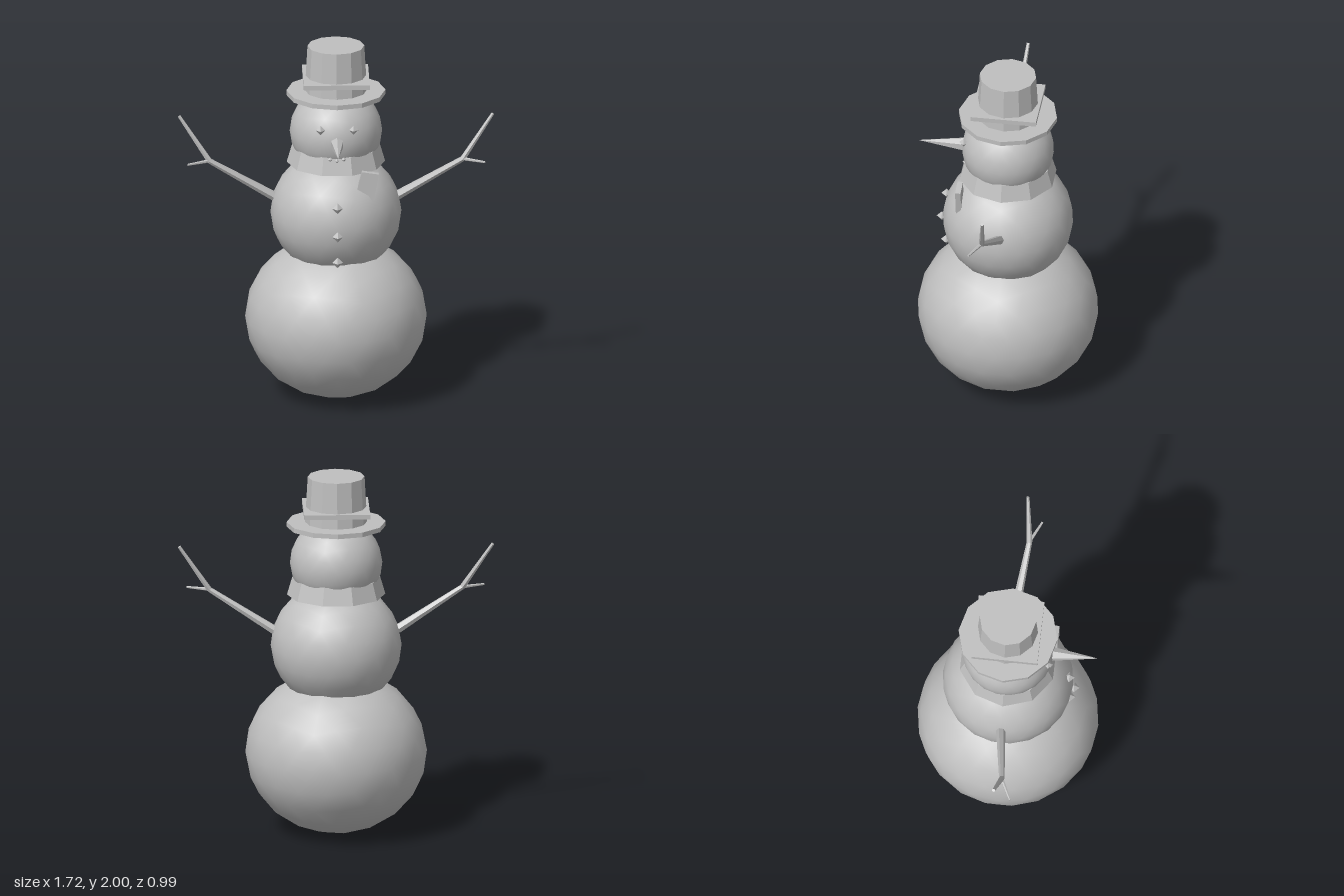
import * as THREE from 'three';

const grey = new THREE.MeshStandardMaterial({ color: 0xbfbfbf });
grey.name = 'grey';
const facetGrey = grey; // one colour; crisp parts use split normals instead of a second material

// Give a geometry crisp, per-face normals
function faceted(geometry) {
  const g = geometry.index ? geometry.toNonIndexed() : geometry;
  g.computeVertexNormals();
  return g;
}

function add(parent, name, geometry, x = 0, y = 0, z = 0) {
  const mesh = new THREE.Mesh(geometry, facetGrey);
  mesh.name = name;
  mesh.position.set(x, y, z);
  parent.add(mesh);
  return mesh;
}

// Smooth, slightly squashed icosphere with its corners on the poles
function snowball(rx, ry) {
  const g = new THREE.IcosahedronGeometry(1, 3);
  g.rotateX(-Math.atan((1 + Math.sqrt(5)) / 2));
  g.rotateY(Math.PI / 2);
  g.scale(rx, ry, rx);
  return g;
}

// Tapered stick between two points
function stick(parent, name, a, b, ra, rb) {
  const from = new THREE.Vector3(...a), to = new THREE.Vector3(...b);
  const dir = to.clone().sub(from);
  const g = faceted(new THREE.CylinderGeometry(rb, ra, dir.length(), 6));
  const mid = from.add(to).multiplyScalar(0.5);
  const mesh = add(parent, name, g, mid.x, mid.y, mid.z);
  mesh.quaternion.setFromUnitVectors(new THREE.Vector3(0, 1, 0), dir.normalize());
}

const stone = (r) => faceted(new THREE.OctahedronGeometry(r));

export function createModel() {
  const model = new THREE.Group();
  model.name = 'snowman';

  // Three snowballs
  add(model, 'base', snowball(0.495, 0.45), 0, 0.45, 0);
  add(model, 'torso', snowball(0.357, 0.345), 0, 1.05, 0);
  add(model, 'head', snowball(0.252, 0.245), 0, 1.515, 0);

  // Hat: brim, crown and square band
  const hat = new THREE.Group();
  hat.name = 'hat';
  model.add(hat);
  add(hat, 'brim', faceted(new THREE.CylinderGeometry(0.27, 0.27, 0.026, 12)), 0, 1.732, 0);
  add(hat, 'crown', faceted(new THREE.CylinderGeometry(0.155, 0.17, 0.265, 12)), 0, 1.8675, 0);
  add(hat, 'band', new THREE.BoxGeometry(0.36, 0.026, 0.36), 0, 1.817, 0);

  // Scarf ring, with corners on the x axis, and its hanging end
  const ring = new THREE.CylinderGeometry(0.24, 0.268, 0.097, 10);
  ring.rotateY(Math.PI / 2);
  add(model, 'scarf', faceted(ring), 0, 1.384, 0);
  const tail = new THREE.Shape([[0.135, 1.357], [0.227, 1.343], [0.197, 1.18], [0.108, 1.25]]
    .map(([x, y]) => new THREE.Vector2(x, y)));
  add(model, 'scarfEnd', new THREE.ExtrudeGeometry(tail, { depth: 0.03, bevelEnabled: false }), 0, 0, 0.228);

  // Face
  for (const side of [-1, 1]) add(model, 'eye', stone(0.026), side * 0.09, 1.59, 0.23);
  const nose = new THREE.ConeGeometry(0.043, 0.28, 6);
  nose.rotateX(Math.PI / 2);
  add(model, 'nose', faceted(nose), 0, 1.515, 0.355);
  for (const x of [-0.037, 0, 0.037]) add(model, 'mouthStone', stone(0.015), x, 1.413 + Math.abs(x) * 0.25, 0.23);

  // Buttons
  for (const [y, z] of [[1.175, 0.337], [1.02, 0.363], [0.865, 0.34]]) {
    add(model, 'button', stone(0.03), 0, y, z);
  }

  // Branch arms, mirrored
  for (const s of [1, -1]) {
    const arm = new THREE.Group();
    arm.name = s > 0 ? 'leftArm' : 'rightArm';
    model.add(arm);
    const elbow = [s * 0.69, 1.357, 0.042];
    stick(arm, 'branch', [s * 0.335, 1.135, -0.003], elbow, 0.026, 0.015);
    stick(arm, 'longTwig', elbow, [s * 0.855, 1.607, 0.015], 0.016, 0.009);
    stick(arm, 'shortTwig', elbow, [s * 0.81, 1.355, 0.1], 0.01, 0.006);
  }
  return model;
}
